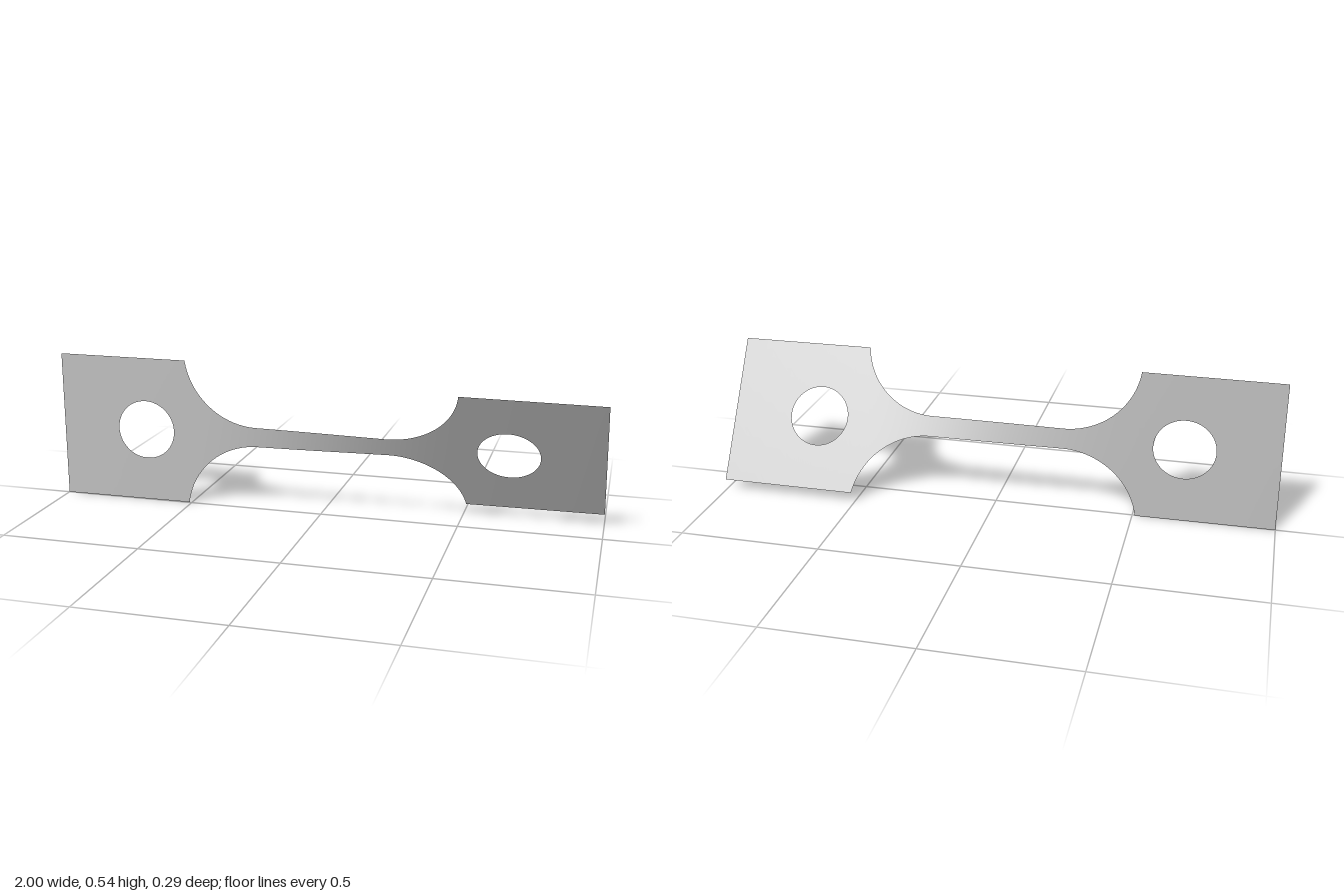
import * as THREE from 'three';
import { mergeGeometries, mergeVertices } from 'three/addons/utils/BufferGeometryUtils.js';

const HALF = 0.271;                             // half height of the end plates
const HOLE = { x: 0.67, r: 0.109 };
const FILLET = { x: 0.24, y: 0.309, r: 0.272 }; // arc from plate to neck
const SHOULDER = FILLET.x + Math.sqrt(FILLET.r ** 2 - (FILLET.y - HALF) ** 2);

// Outer half height of the strip at x
function outerEdge(x) {
  const a = Math.abs(x);
  if (a >= SHOULDER) return HALF;
  const d = Math.max(0, a - FILLET.x);
  return FILLET.y - Math.sqrt(FILLET.r ** 2 - d * d);
}

// Half height of the round hole at x
function innerEdge(x) {
  const d = Math.abs(x) - HOLE.x;
  return Math.sqrt(Math.max(0, HOLE.r ** 2 - d * d));
}

// Twist is slight in the plates and concentrated in the neck
function twist(x) {
  const bend = 28.3 * THREE.MathUtils.smoothstep(x, -0.5, 0.5);
  return THREE.MathUtils.degToRad(bend + 1.8 * (x + 1));
}

// Cross-section positions, denser at the ends of the arcs
function stations() {
  const half = [];
  const span = (a, b, n, ease) => {
    for (let i = 0; i < n; i++) half.push(a + (b - a) * ease(i / n));
  };
  span(0, FILLET.x, 12, t => t);
  span(FILLET.x, SHOULDER, 28, t => Math.sin(t * Math.PI / 2));
  span(SHOULDER, HOLE.x - HOLE.r, 3, t => t);
  span(HOLE.x - HOLE.r, HOLE.x + HOLE.r, 32, t => (1 - Math.cos(t * Math.PI)) / 2);
  span(HOLE.x + HOLE.r, 1, 8, t => t);
  half.push(1);
  return [...half.slice(1).reverse().map(x => -x), ...half];
}

// Upper (side = 1) or lower (side = -1) half of the twisted strip
function halfStrip(side) {
  const xs = stations(), rows = 8;
  const geo = new THREE.PlaneGeometry(1, 1, xs.length - 1, rows);
  const pos = geo.attributes.position;
  for (let i = 0; i < pos.count; i++) {
    const x = xs[i % xs.length];
    const v = 1 - Math.floor(i / xs.length) / rows;
    const k = side > 0 ? v : 1 - v;
    const y = side * THREE.MathUtils.lerp(innerEdge(x), outerEdge(x), k);
    const a = twist(x);
    pos.setXYZ(i, x, HALF + y * Math.cos(a), y * Math.sin(a));
  }
  geo.deleteAttribute('normal');
  geo.deleteAttribute('uv');
  return geo;
}

export function createModel() {
  const grey = new THREE.MeshStandardMaterial({ color: 0xbfbfbf, side: THREE.DoubleSide });
  grey.name = 'grey metal';

  const geo = mergeVertices(mergeGeometries([halfStrip(1), halfStrip(-1)]), 1e-5);
  geo.computeVertexNormals();

  const strip = new THREE.Mesh(geo, grey);
  strip.name = 'twistedStrip';

  const model = new THREE.Group();
  model.name = 'twistedTestStrip';
  model.add(strip);
  return model;
}
